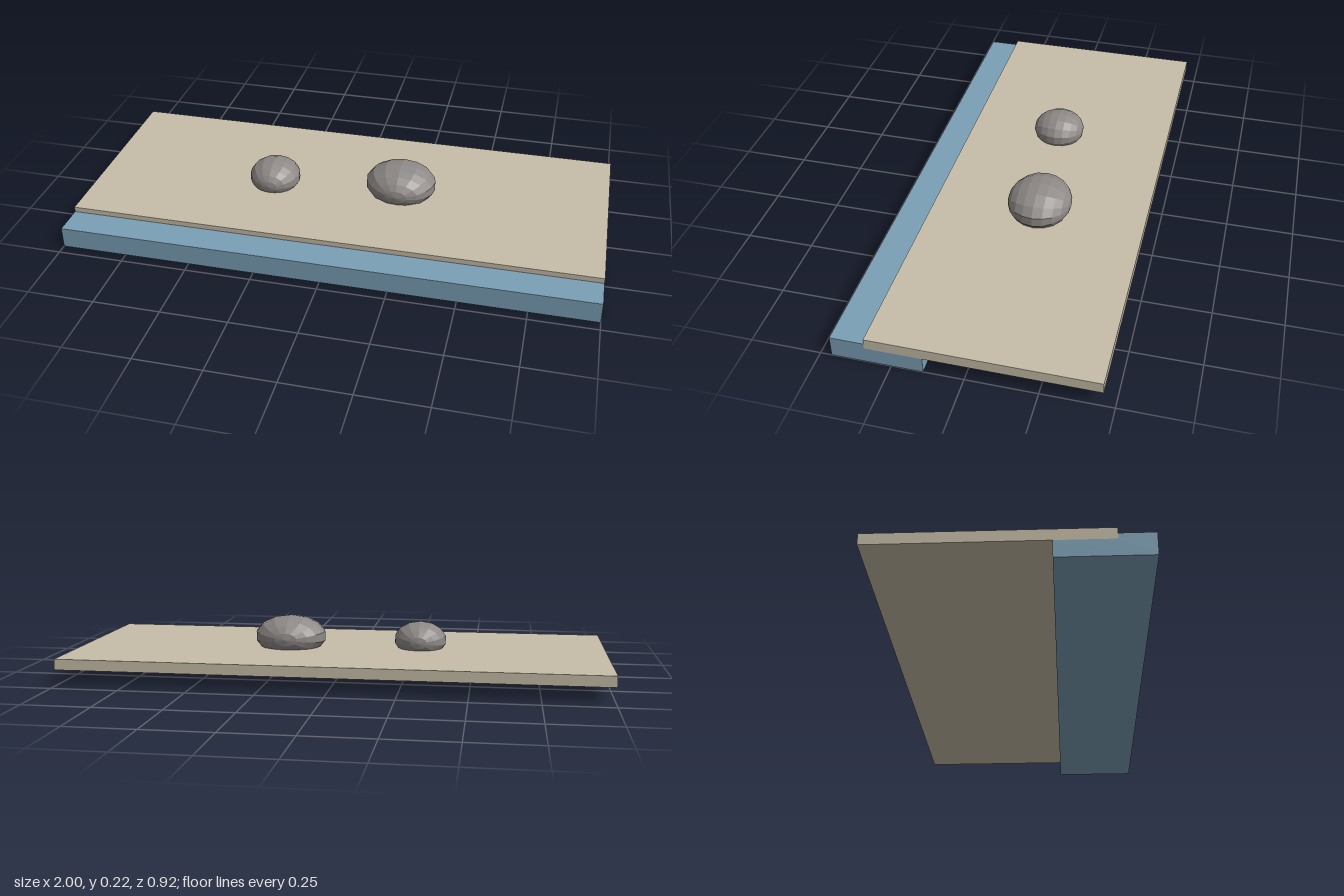
import * as THREE from 'three';

export function createModel() {
  const group = new THREE.Group();
  const material = (name, color, flatShading = false) => {
    const m = new THREE.MeshStandardMaterial({ color, flatShading });
    m.name = name;
    return m;
  };
  const sand = material('sand', 0xc6bda8);
  const water = material('water blue', 0x7b9fb5);
  const stone = material('stone grey', 0x8e8986, true);

  const add = (name, geometry, mat, x = 0, y = 0, z = 0) => {
    const mesh = new THREE.Mesh(geometry, mat);
    mesh.name = name;
    mesh.position.set(x, y, z);
    group.add(mesh);
    return mesh;
  };

  // Sand slab, resting on the back of the water strip
  add('sandSlab', new THREE.BoxGeometry(2, 0.04, 0.8), sand, 0, 0.08, -0.06);

  // Water strip: stepped section (z, y) that leaves room for the slab
  const section = new THREE.Shape([
    [0.14, 0], [0.46, 0], [0.46, 0.08], [0.34, 0.08], [0.34, 0.06], [0.14, 0.06],
  ].map(([z, y]) => new THREE.Vector2(-z, y)));
  const strip = new THREE.ExtrudeGeometry(section, { depth: 2, bevelEnabled: false });
  strip.translate(0, 0, -1).rotateY(Math.PI / 2);
  add('waterStrip', strip, water);

  // Flattened faceted rocks, poles along z, half sunk in the sand
  const rock = new THREE.SphereGeometry(1, 14, 10);
  rock.rotateX(Math.PI / 2).rotateZ(Math.PI / 2);
  add('largeRock', rock, stone, 0.2, 0.14, -0.06).scale.set(0.138, 0.08, 0.12);
  add('smallRock', rock, stone, -0.3, 0.13, -0.02).scale.set(0.1, 0.07, 0.1);

  return group;
}
